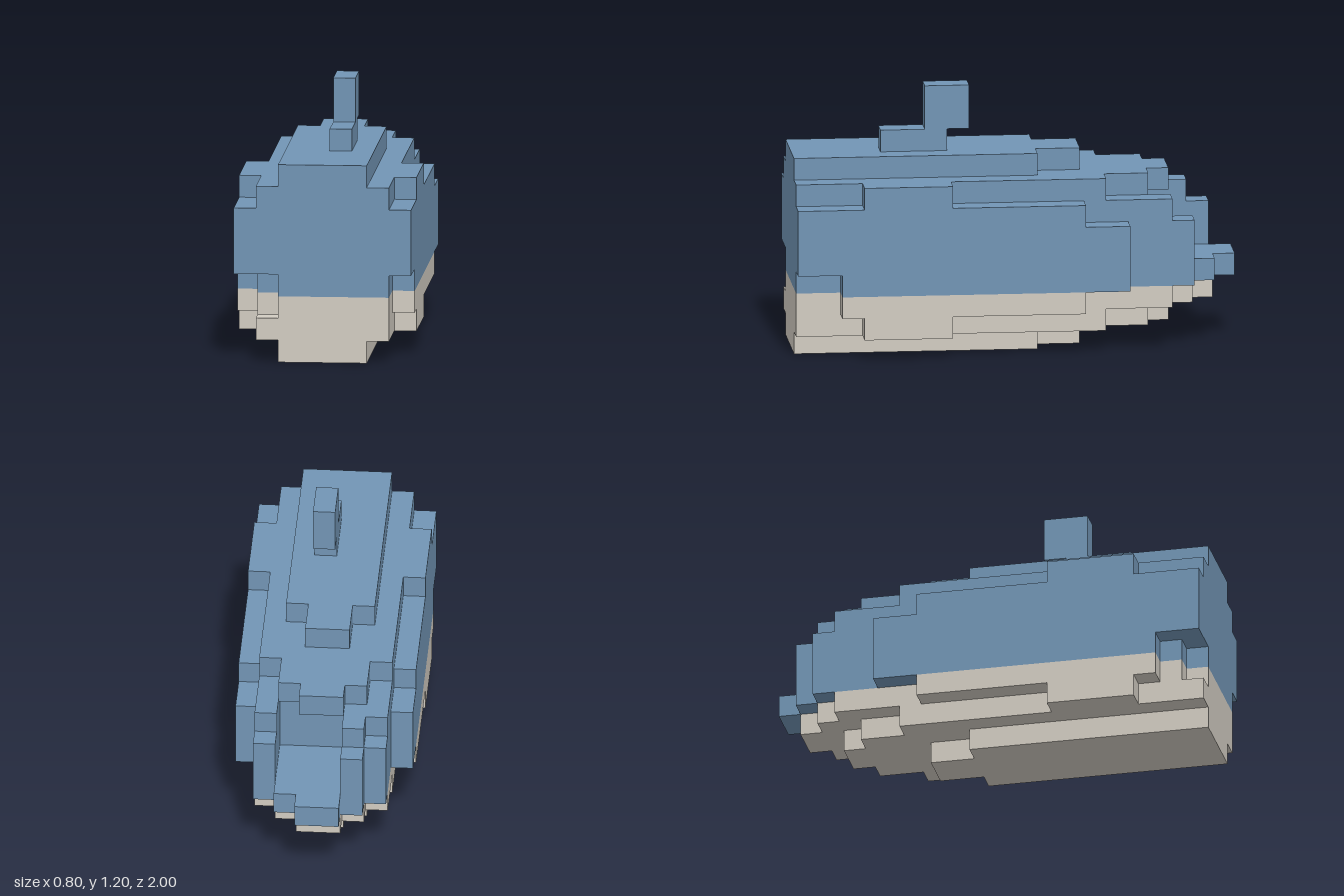
import * as THREE from 'three';

const blue = new THREE.MeshStandardMaterial({ color: 0x7295b5 });
blue.name = 'slate blue';
const cream = new THREE.MeshStandardMaterial({ color: 0xd2ccc2 });
cream.name = 'belly cream';

const STEP = 0.1;

// Expand values listed from the centre outwards into columns from -x to +x
const mirror = (a) => [...a].reverse().concat(a);

// One horizontal slab: every column, STEP wide, runs from its back z to its front z
function slab(name, material, y0, y1, back, front) {
  const pts = [];
  const add = (x, z) => {
    const last = pts[pts.length - 1];
    if (!last || last.x !== x || last.y !== -z) pts.push(new THREE.Vector2(x, -z));
  };
  const edge = (i) => (i - back.length / 2) * STEP;
  for (let i = 0; i < back.length; i++) {
    add(edge(i), back[i]);
    add(edge(i + 1), back[i]);
  }
  for (let i = back.length - 1; i >= 0; i--) {
    add(edge(i + 1), front[i]);
    add(edge(i), front[i]);
  }
  const geo = new THREE.ExtrudeGeometry(new THREE.Shape(pts), {
    depth: y1 - y0, bevelEnabled: false,
  });
  geo.rotateX(-Math.PI / 2);
  geo.translate(0, y0, 0);
  const mesh = new THREE.Mesh(geo, material);
  mesh.name = name;
  return mesh;
}

function block(name, material, x0, x1, y0, y1, z0, z1) {
  const mesh = new THREE.Mesh(new THREE.BoxGeometry(x1 - x0, y1 - y0, z1 - z0), material);
  mesh.position.set((x0 + x1) / 2, (y0 + y1) / 2, (z0 + z1) / 2);
  mesh.name = name;
  return mesh;
}

export function createModel() {
  const model = new THREE.Group();
  model.name = 'blockWhale';

  const flat = mirror([1, 1, 1, 1]);
  const stepped = mirror([1, 1, 1, 0.7]);
  const keelBack = mirror([-0.3, -0.1]);
  const shoulderBack = mirror([-0.7, -0.6, -0.4, 0.3]);
  // Mouth corners, cut wider on the -x side
  const mouth = [0.8, 0.9, 1, 1, 1, 1, 1, 0.8];

  model.add(
    // Belly
    slab('keel', cream, 0, 0.1, keelBack, mirror([1, 1])),
    slab('lowerBelly', cream, 0.1, 0.2, shoulderBack, stepped),
    slab('upperBelly', cream, 0.2, 0.3, mirror([-0.9, -0.8, -0.7, -0.3]), mouth),
    // Body, with the tail shelf and the hollow above it
    slab('tailShelf', blue, 0.3, 0.4, mirror([-1, -0.9, -0.8, -0.5]), mouth),
    slab('flanks', blue, 0.4, 0.6,
      [-0.5, -0.8, -0.9, -0.5, -0.5, -0.5, -0.8, -0.5], flat),
    slab('upperFlanks', blue, 0.6, 0.7,
      [-0.3, -0.7, -0.8, -0.5, -0.5, -0.5, -0.7, -0.3], flat),
    slab('shoulders', blue, 0.7, 0.8, shoulderBack, stepped),
    slab('back', blue, 0.8, 0.9, keelBack, mirror([1, 1])),
    // Spout
    block('spoutBase', blue, 0, 0.1, 0.9, 1, 0.3, 0.6),
    block('spoutTop', blue, 0, 0.1, 1, 1.2, 0.2, 0.4),
  );
  return model;
}
